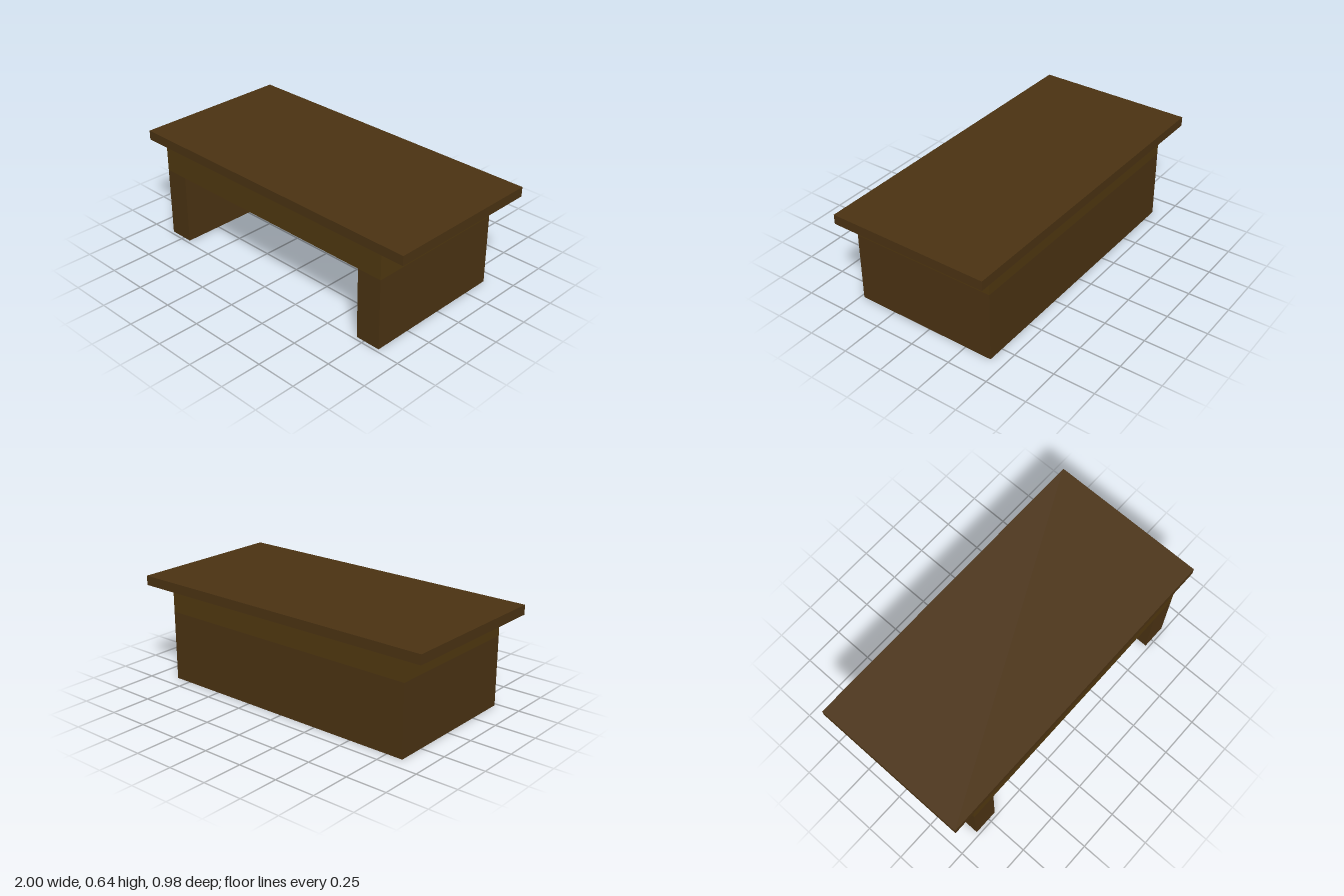
import * as THREE from 'three';

export function createModel() {
  const group = new THREE.Group();
  const wood = new THREE.MeshStandardMaterial({ color: 0x4a3212 });
  const lightWood = new THREE.MeshStandardMaterial({ color: 0x4f370f });

  // Adds a box given its lower and upper corners
  function addBox(name, [x0, y0, z0], [x1, y1, z1], material = wood) {
    const mesh = new THREE.Mesh(new THREE.BoxGeometry(x1 - x0, y1 - y0, z1 - z0), material);
    mesh.position.set((x0 + x1) / 2, (y0 + y1) / 2, (z0 + z1) / 2);
    mesh.name = name;
    group.add(mesh);
  }

  const halfWidth = 0.852, inner = 0.697; // outer and inner faces of the sides
  const front = 0.48, back = -0.417;
  const panelFront = back + 0.15;
  const apronBottom = 0.43, apronTop = 0.585;

  // Overhanging top
  addBox('tableTop', [-1, apronTop, -0.489], [1, 0.643, 0.489]);

  // Solid block under the top
  addBox('apron', [-halfWidth, apronBottom, back], [halfWidth, apronTop, front], lightWood);

  // Side panels and the back panel between them, open at the front
  addBox('leftSide', [inner, 0, back], [halfWidth, apronBottom, front]);
  addBox('rightSide', [-halfWidth, 0, back], [-inner, apronBottom, front]);
  addBox('backPanel', [-inner, 0, back], [inner, apronBottom, panelFront]);

  return group;
}
